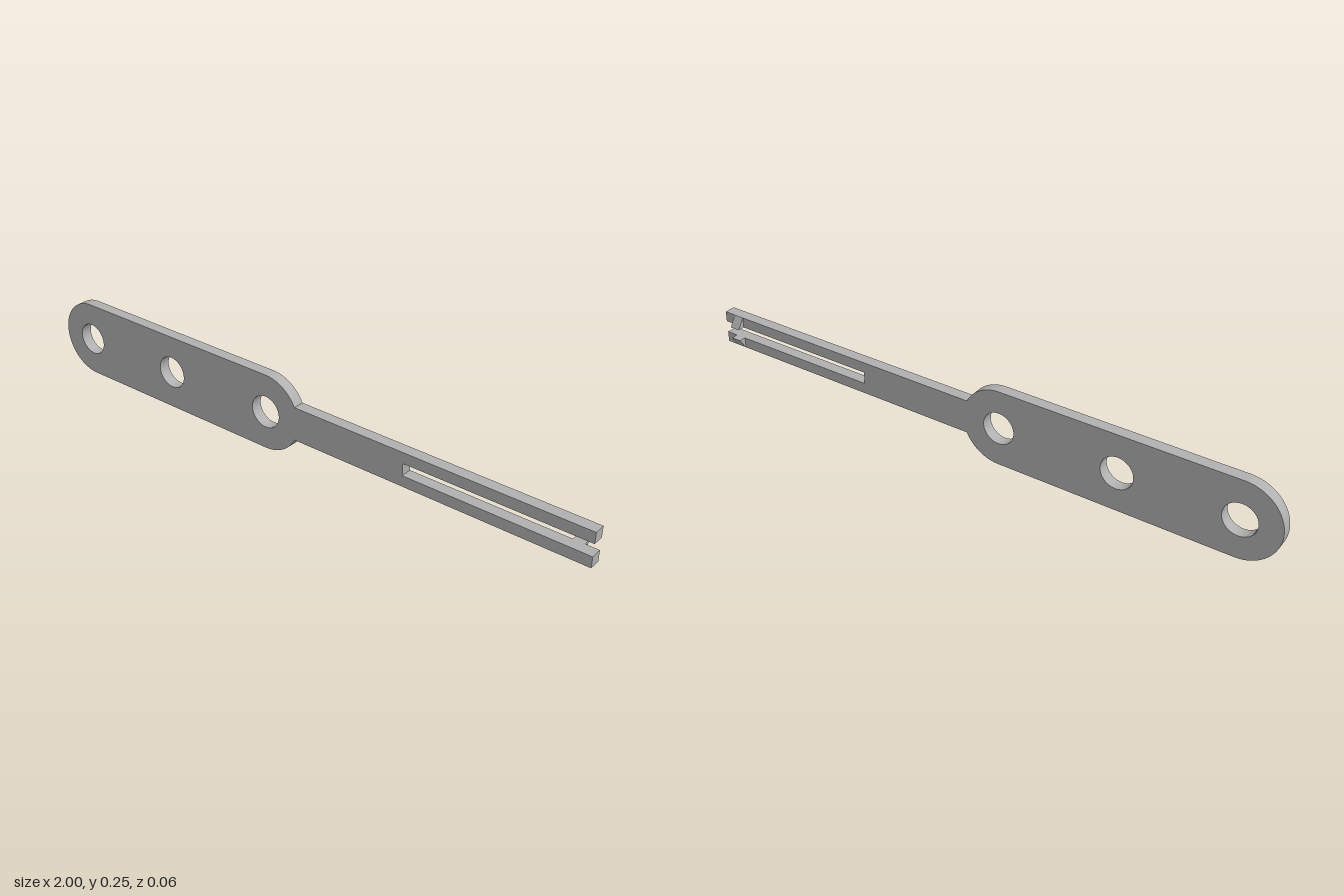
import * as THREE from 'three';
import { toCreasedNormals } from 'three/addons/utils/BufferGeometryUtils.js';

const R = 0.127, MID = R + 0.001;        // end radius and centre height
const LEFT = -0.873, RIGHT = -0.104;     // centres of the rounded ends
const STEM = 0.056, SLOT = 0.02;         // half heights of stem and slot
const BACK = -0.006, FRONT = 0.032;

export function createModel() {
  const group = new THREE.Group();
  const grey = new THREE.MeshStandardMaterial({ color: 0xb0b0b0 });
  grey.name = 'grey';

  const add = (name, geometry) => {
    const mesh = new THREE.Mesh(toCreasedNormals(geometry, 0.5), grey);
    mesh.name = name;
    group.add(mesh);
  };

  // Rounded handle running into a slotted stem, as one outline
  const a = Math.asin(STEM / R);
  const s = new THREE.Shape();
  s.moveTo(0.405, MID - SLOT);
  s.lineTo(1, MID - SLOT);
  s.lineTo(1, MID - STEM);
  s.lineTo(RIGHT + R * Math.cos(a), MID - STEM);
  s.absarc(RIGHT, MID, R, -a, -Math.PI / 2, true);
  s.absarc(LEFT, MID, R, -Math.PI / 2, -Math.PI * 1.5, true);
  s.absarc(RIGHT, MID, R, Math.PI / 2, a, true);
  s.lineTo(1, MID + STEM);
  s.lineTo(1, MID + SLOT);
  s.lineTo(0.405, MID + SLOT);
  s.closePath();

  // Three round holes
  for (const x of [LEFT - 0.003, -0.502, RIGHT]) {
    s.holes.push(new THREE.Path().absarc(x, MID, 0.053, 0, Math.PI * 2, false));
  }
  const body = new THREE.ExtrudeGeometry(s, { depth: FRONT - BACK, bevelEnabled: false, curveSegments: 32 });
  add('slottedHandle', body.translate(0, 0, BACK));

  // Wedge-shaped catches behind the prong tips, deepest beside the slot
  for (const side of [1, -1]) {
    const wedge = new THREE.Shape([
      new THREE.Vector2(BACK, MID + side * STEM),
      new THREE.Vector2(BACK, MID + side * SLOT),
      new THREE.Vector2(-0.03, MID + side * SLOT),
    ]);
    const geometry = new THREE.ExtrudeGeometry(wedge, { depth: 0.036, bevelEnabled: false });
    geometry.rotateY(-Math.PI / 2).translate(0.958, 0, 0);
    add(side > 0 ? 'upperCatch' : 'lowerCatch', geometry);
  }
  return group;
}
